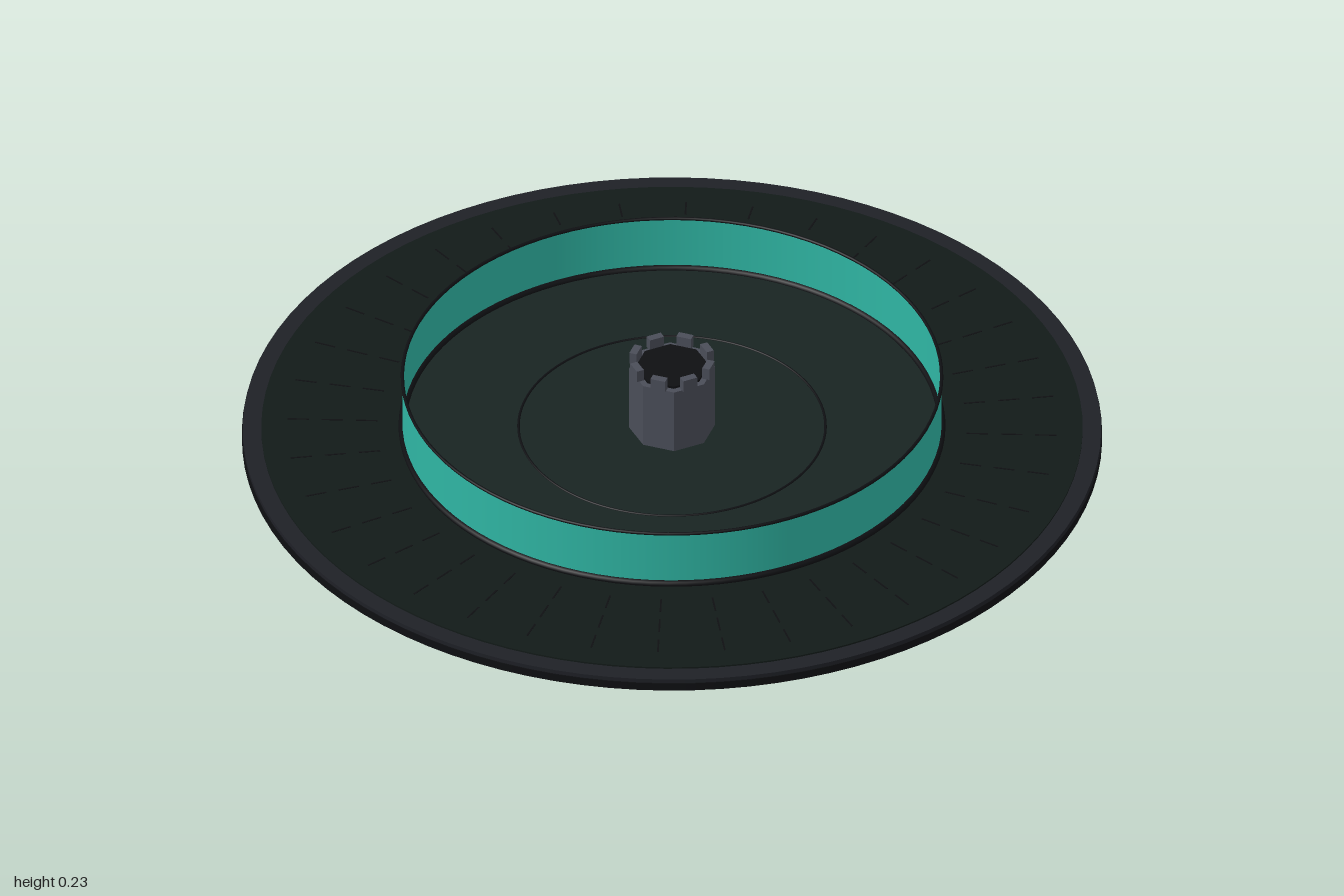
import * as THREE from 'three';

const paint = (color, extra = {}) => new THREE.MeshStandardMaterial({ color, ...extra });

export function createModel() {
  const model = new THREE.Group();
  const black = paint(0x0e0f12);
  const rimGrey = paint(0x1e2026);
  const green = paint(0x121a18);
  const floorGreen = paint(0x182422);
  const teal = paint(0x2fb5a3, { side: THREE.DoubleSide });
  const stone = paint(0x4a4d58, { flatShading: true });

  const add = (name, geometry, material, y = 0, parent = model) => {
    const mesh = new THREE.Mesh(geometry, material);
    mesh.name = name;
    mesh.position.y = y;
    parent.add(mesh);
    return mesh;
  };
  const disc = (name, r, bottom, top, material, sides = 96) =>
    add(name, new THREE.CylinderGeometry(r, r, top - bottom, sides), material, (bottom + top) / 2);
  const hoop = (name, r, tube, y) =>
    add(name, new THREE.TorusGeometry(r, tube, 8, 96).rotateX(Math.PI / 2), black, y);

  // Stacked round base: dark underside, grey rim, raised outer track, inner floor
  disc('baseUnderside', 1, 0, 0.02, black);
  disc('baseRim', 0.998, 0.02, 0.03, rimGrey);
  disc('outerTrack', 0.955, 0.03, 0.034, green);
  disc('innerFloor', 0.62, 0.034, 0.037, floorGreen);

  // Dashed radial marks on the outer track
  const marks = new THREE.Group();
  marks.name = 'radialMarks';
  model.add(marks);
  const markGeometry = new THREE.BoxGeometry(0.05, 0.001, 0.004);
  for (let i = 0; i < 36; i++) {
    const spoke = new THREE.Group();
    spoke.rotation.y = (i / 36) * Math.PI * 2;
    marks.add(spoke);
    for (const r of [0.71, 0.79, 0.87]) add('radialMark', markGeometry, black, 0.0343, spoke).position.x = r;
  }

  // Thin open wall with dark hoops at foot and top, and a floor circle
  add('wall', new THREE.CylinderGeometry(0.627, 0.627, 0.145, 96, 1, true), teal, 0.1075);
  hoop('wallFoot', 0.627, 0.009, 0.038);
  hoop('wallTopEdge', 0.627, 0.004, 0.18);
  hoop('floorCircle', 0.357, 0.003, 0.037);

  // Octagonal tower with a dark top and eight merlons over its faces
  disc('tower', 0.1, 0.035, 0.205, stone, 8);
  disc('towerTop', 0.085, 0.205, 0.211, black, 8);
  const merlonGeometry = new THREE.BoxGeometry(0.036, 0.03, 0.018);
  for (let i = 0; i < 8; i++) {
    const a = ((i + 0.5) / 8) * Math.PI * 2;
    const merlon = add('merlon', merlonGeometry, stone, 0.22);
    merlon.position.x = Math.sin(a) * 0.09;
    merlon.position.z = Math.cos(a) * 0.09;
    merlon.rotation.y = a;
  }
  return model;
}
